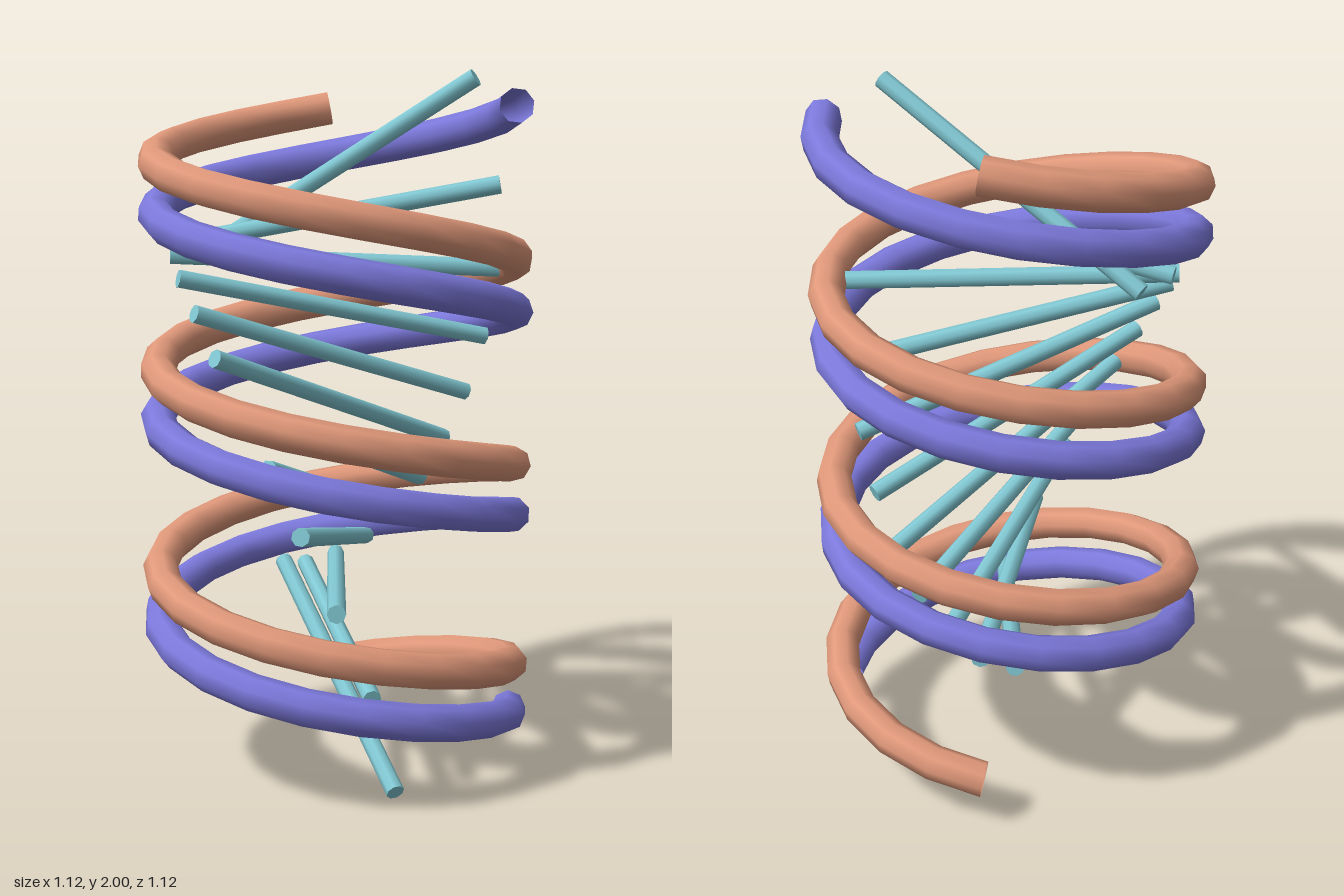
import * as THREE from 'three';

// Upright helix around the y axis
class HelixCurve extends THREE.Curve {
  constructor(radius, startAngle, turns, bottom, top) {
    super();
    Object.assign(this, { radius, startAngle, turns, bottom, top });
  }
  getPoint(t, target = new THREE.Vector3()) {
    const a = this.startAngle + t * this.turns * Math.PI * 2;
    return target.set(
      this.radius * Math.cos(a),
      this.bottom + (this.top - this.bottom) * t,
      this.radius * Math.sin(a)
    );
  }
}

function material(name, color, side = THREE.FrontSide) {
  const m = new THREE.MeshStandardMaterial({ color, side });
  m.name = name;
  return m;
}

export function createModel() {
  const model = new THREE.Group();
  model.name = 'doubleHelix';
  const blue = material('violet blue', 0x7c79dc, THREE.DoubleSide);
  const orange = material('terracotta', 0xe0987a, THREE.DoubleSide);
  const cyan = material('pale teal', 0x82c9d4);

  // Two open tube strands, a quarter turn apart
  const addStrand = (name, startAngle, mat) => {
    const path = new HelixCurve(0.51, startAngle, 3, 0.145, 1.903);
    const strand = new THREE.Mesh(new THREE.TubeGeometry(path, 64, 0.051, 8, false), mat);
    strand.name = name;
    model.add(strand);
  };
  addStrand('blueStrand', 0, blue);
  addStrand('orangeStrand', -Math.PI / 2, orange);

  // Twelve rungs through the axis, turning 12 degrees each; tilt mirrors about the middle
  const rungs = new THREE.Group();
  rungs.name = 'rungs';
  const halfLength = 0.47;
  const endRise = [-0.245, -0.085, 0.022, 0.095, 0.138, 0.156];
  const rungGeometry = new THREE.CylinderGeometry(0.026, 0.026, halfLength * 2, 8);
  const up = new THREE.Vector3(0, 1, 0);
  for (let i = 0; i < 12; i++) {
    const angle = THREE.MathUtils.degToRad(68 + 12 * i);
    const rise = endRise[Math.min(i, 11 - i)] / halfLength;
    const flat = Math.sqrt(1 - rise * rise);
    const dir = new THREE.Vector3(flat * Math.cos(angle), rise, flat * Math.sin(angle));
    const rung = new THREE.Mesh(rungGeometry, cyan);
    rung.name = 'rung' + (i + 1);
    rung.position.y = 0.268 + i * 0.1331;
    rung.quaternion.setFromUnitVectors(up, dir);
    rungs.add(rung);
  }
  model.add(rungs);
  return model;
}
